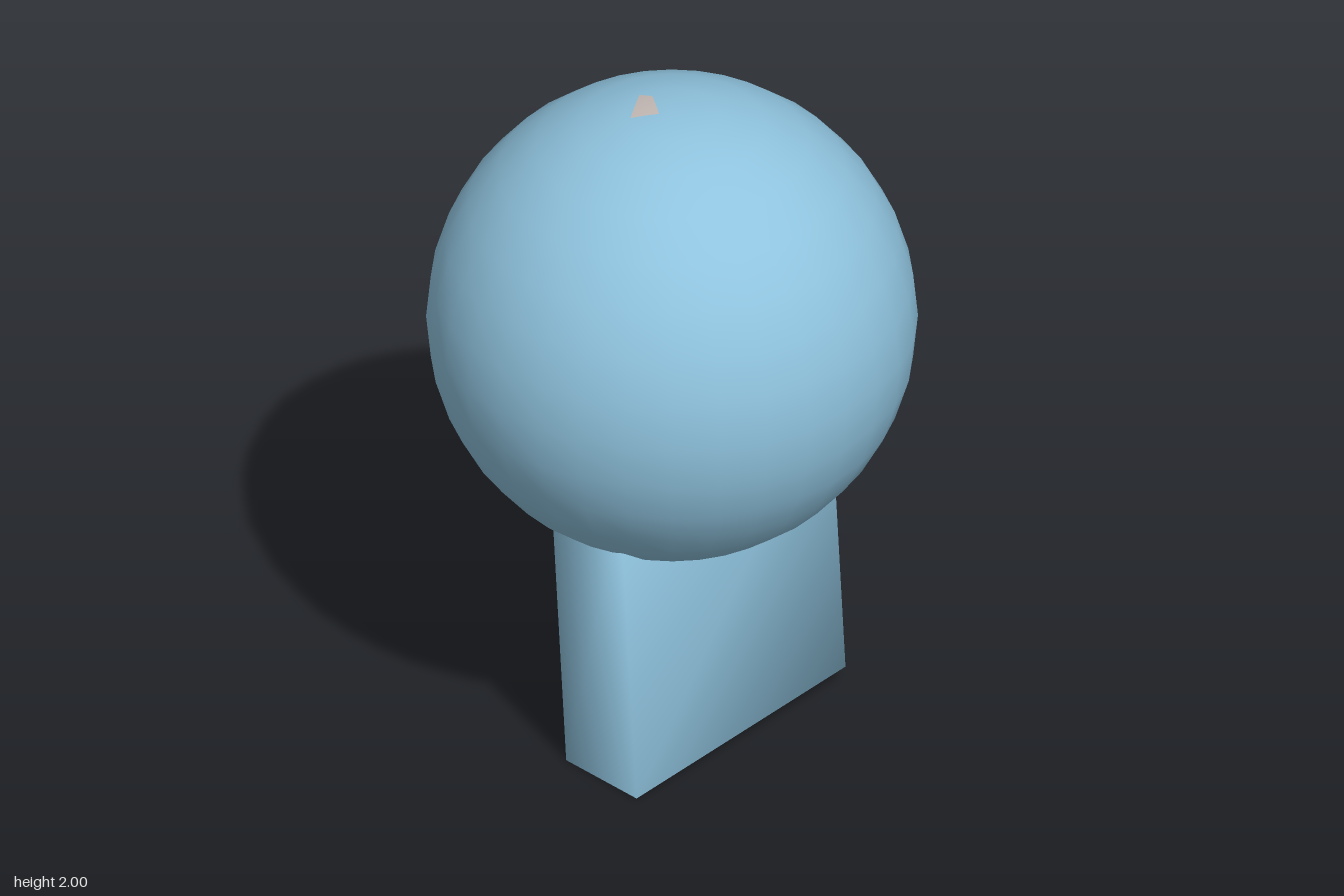
import * as THREE from 'three';
import { mergeVertices } from 'three/addons/utils/BufferGeometryUtils.js';

const R = 0.67;
const CENTRE_Y = 1.33;

// Thin patch hugging the ball, spanned by four [x, z] corners; side is +1 on top, -1 underneath
function ballPatch(a, b, c, d, side) {
  const g = new THREE.PlaneGeometry(1, 1, 14, 14);
  const pos = g.attributes.position;
  const nor = g.attributes.normal;
  const r = R + 0.003;
  for (let i = 0; i < pos.count; i++) {
    const u = pos.getX(i) + 0.5;
    const v = pos.getY(i) + 0.5;
    const [x, z] = [0, 1].map((k) =>
      THREE.MathUtils.lerp(
        THREE.MathUtils.lerp(a[k], b[k], u),
        THREE.MathUtils.lerp(c[k], d[k], u), v));
    const y = side * Math.sqrt(r * r - x * x - z * z);
    pos.setXYZ(i, x, y, z);
    nor.setXYZ(i, x / r, y / r, z / r);
  }
  return g;
}

export function createModel() {
  const model = new THREE.Group();
  const blue = new THREE.MeshStandardMaterial({ color: 0x8fc3de });
  blue.name = 'sky blue';
  const grey = new THREE.MeshStandardMaterial({ color: 0xc4bab6 });
  grey.name = 'warm grey';

  const add = (name, geometry, material, x, y, z) => {
    const mesh = new THREE.Mesh(geometry, material);
    mesh.name = name;
    mesh.position.set(x, y, z);
    model.add(mesh);
    return mesh;
  };

  // Large ball
  add('ball', new THREE.SphereGeometry(R, 32, 16), blue, 0, CENTRE_Y, 0);

  // Slightly leaning slab, shaded softly across shared corners
  let slab = new THREE.BoxGeometry(0.81, 0.95, 0.27);
  slab.deleteAttribute('uv');
  slab.deleteAttribute('normal');
  slab = mergeVertices(slab);
  slab.computeVertexNormals();
  add('stand', slab, blue, 0.035, 0.505, 0.065).rotation.z = 0.064;

  // Ends of the inner core, showing at the top and the lower back of the ball
  add('coreTop', ballPatch([-0.04, -0.01], [0.015, -0.09], [-0.1, -0.06], [0, -0.125], 1),
    grey, 0, CENTRE_Y, 0);
  add('coreBottom', ballPatch([0.064, -0.431], [0.348, -0.29], [-0.18, -0.06], [0.19, 0.24], -1),
    grey, 0, CENTRE_Y, 0);

  return model;
}
